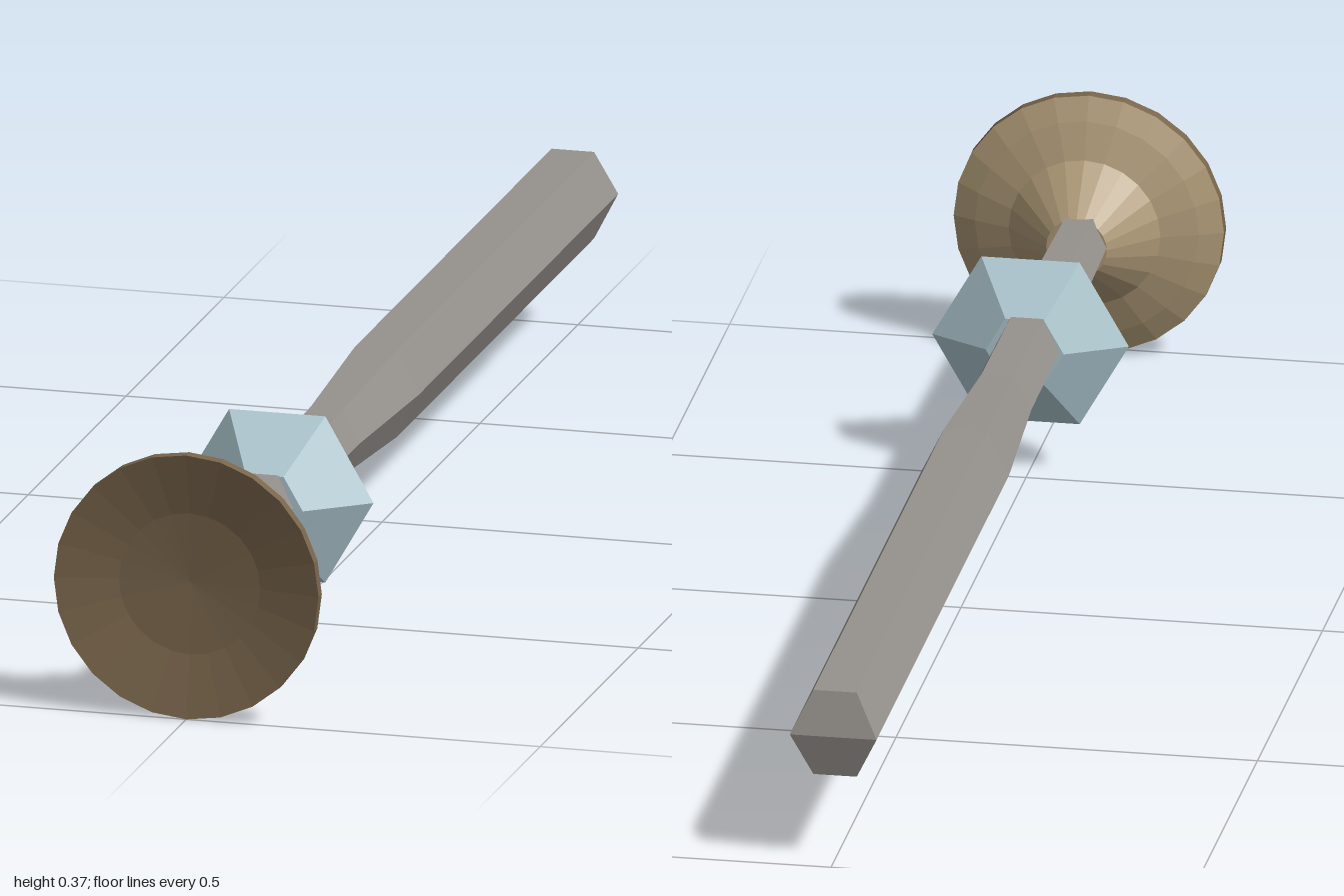
import * as THREE from 'three';

const AXIS_Y = 0.192;

const mat = (name, color) => {
  const m = new THREE.MeshStandardMaterial({ color, flatShading: true });
  m.name = name;
  return m;
};

// Turned part along the z axis; profile rows are [z, radius] from back to front
function turned(name, profile, sides, material) {
  const points = profile.map(([z, r]) => new THREE.Vector2(r, z));
  const geometry = new THREE.LatheGeometry(points, sides, Math.PI / 2);
  geometry.rotateX(Math.PI / 2);
  const mesh = new THREE.Mesh(geometry, material);
  mesh.name = name;
  return mesh;
}

export function createModel() {
  const grey = mat('stone grey', 0x96928d);
  const blue = mat('pale blue', 0xb2ccd5);
  const tan = mat('tan', 0xb09b78);
  const brown = mat('dark brown', 0x7a664c);

  const model = new THREE.Group();
  model.name = 'flaredRod';

  // Six-sided shaft, thick at the back and slimmer towards the flare
  const shaft = turned('shaft', [
    [-1, 0], [-1, 0.06], [0.02, 0.06], [0.27, 0.046],
    [0.55, 0.045], [0.92, 0.038], [0.92, 0],
  ], 6, grey);
  shaft.geometry.scale(1, 1.18, 1);
  // The upper and lower edges of the back end are set in a little
  const p = shaft.geometry.attributes.position;
  for (let i = 0; i < p.count; i++) {
    if (p.getZ(i) < -0.99 && Math.abs(p.getY(i)) > 0.03) p.setZ(i, -0.985);
  }
  shaft.position.x = -0.003;
  shaft.position.y = 0.003;

  // Six-sided double-cone collar
  const collar = turned('collar', [
    [0.49, 0], [0.49, 0.054], [0.535, 0.136], [0.6, 0.054], [0.6, 0],
  ], 6, blue);

  // Flared outside of the bell
  const flare = turned('flare', [
    [0.888, 0], [0.888, 0.042], [0.95, 0.105], [0.968, 0.155], [0.983, 0.187],
  ], 24, tan);

  // Rim and shallow hollow front face
  const mouth = turned('mouth', [
    [0.983, 0.187], [1, 0.187], [0.982, 0.1], [0.975, 0],
  ], 24, brown);

  const body = new THREE.Group();
  body.name = 'body';
  body.position.y = AXIS_Y;
  body.add(shaft, collar, flare, mouth);
  model.add(body);
  return model;
}
